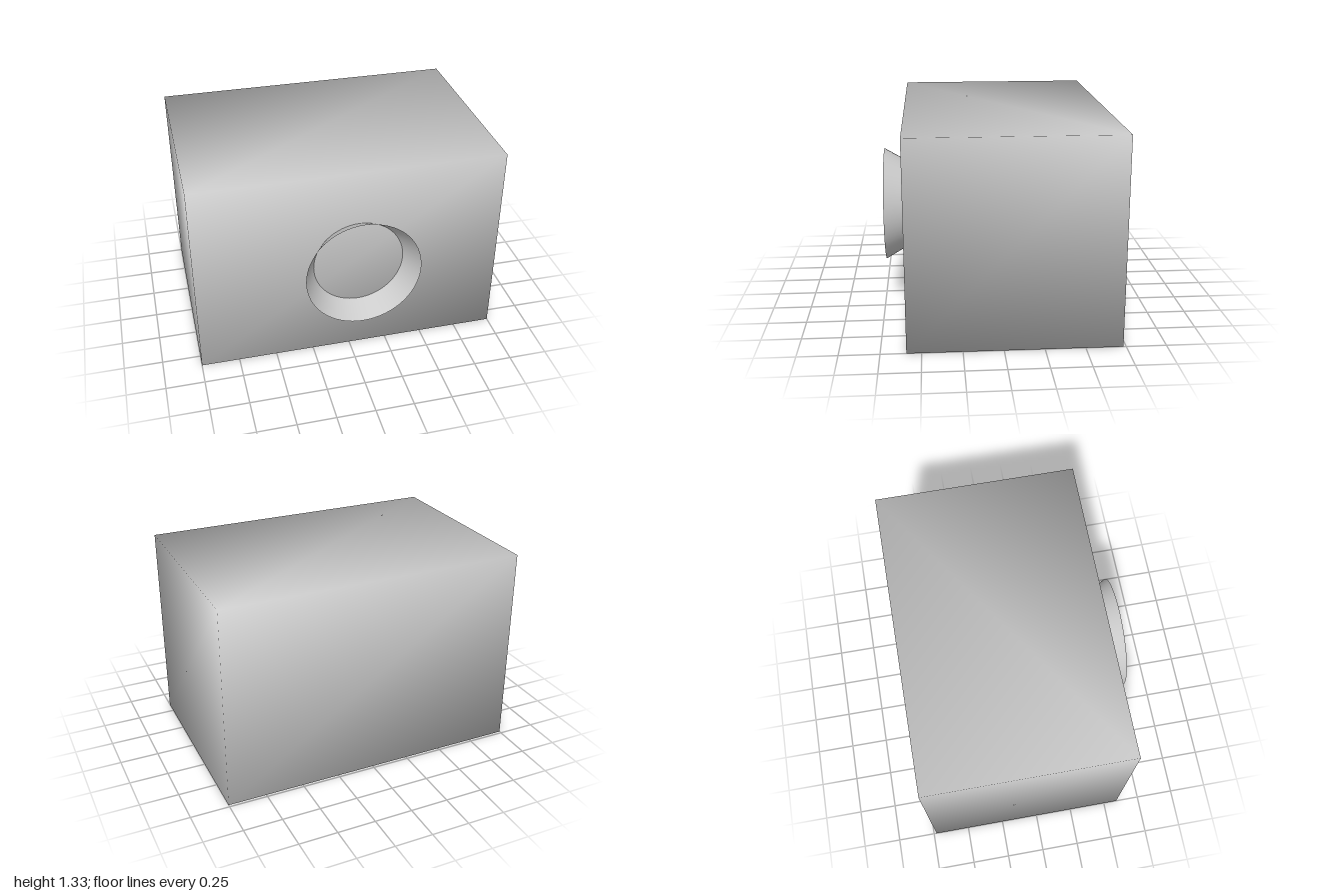
import * as THREE from 'three';
import { mergeVertices } from 'three/addons/utils/BufferGeometryUtils.js';

export function createModel() {
  const model = new THREE.Group();
  const material = new THREE.MeshStandardMaterial({ color: 0xcccccc, side: THREE.DoubleSide });
  const height = 1.325, back = -0.732, face = 0.592, front = 0.732;

  // Solid body: shared corners give soft shading across the edges
  let box = new THREE.BoxGeometry(2, height, face - back);
  box.deleteAttribute('normal');
  box.deleteAttribute('uv');
  box = mergeVertices(box);
  box.computeVertexNormals();
  const body = new THREE.Mesh(box, material);
  body.name = 'body';
  body.position.set(0, height / 2, (face + back) / 2);
  model.add(body);

  // Thin open flared ring on the front face
  const flare = new THREE.CylinderGeometry(0.375, 0.295, front - face, 64, 1, true);
  flare.rotateX(Math.PI / 2);
  const ring = new THREE.Mesh(flare, material);
  ring.name = 'flaredRing';
  ring.position.set(0.055, 0.665, (face + front) / 2);
  model.add(ring);

  return model;
}
